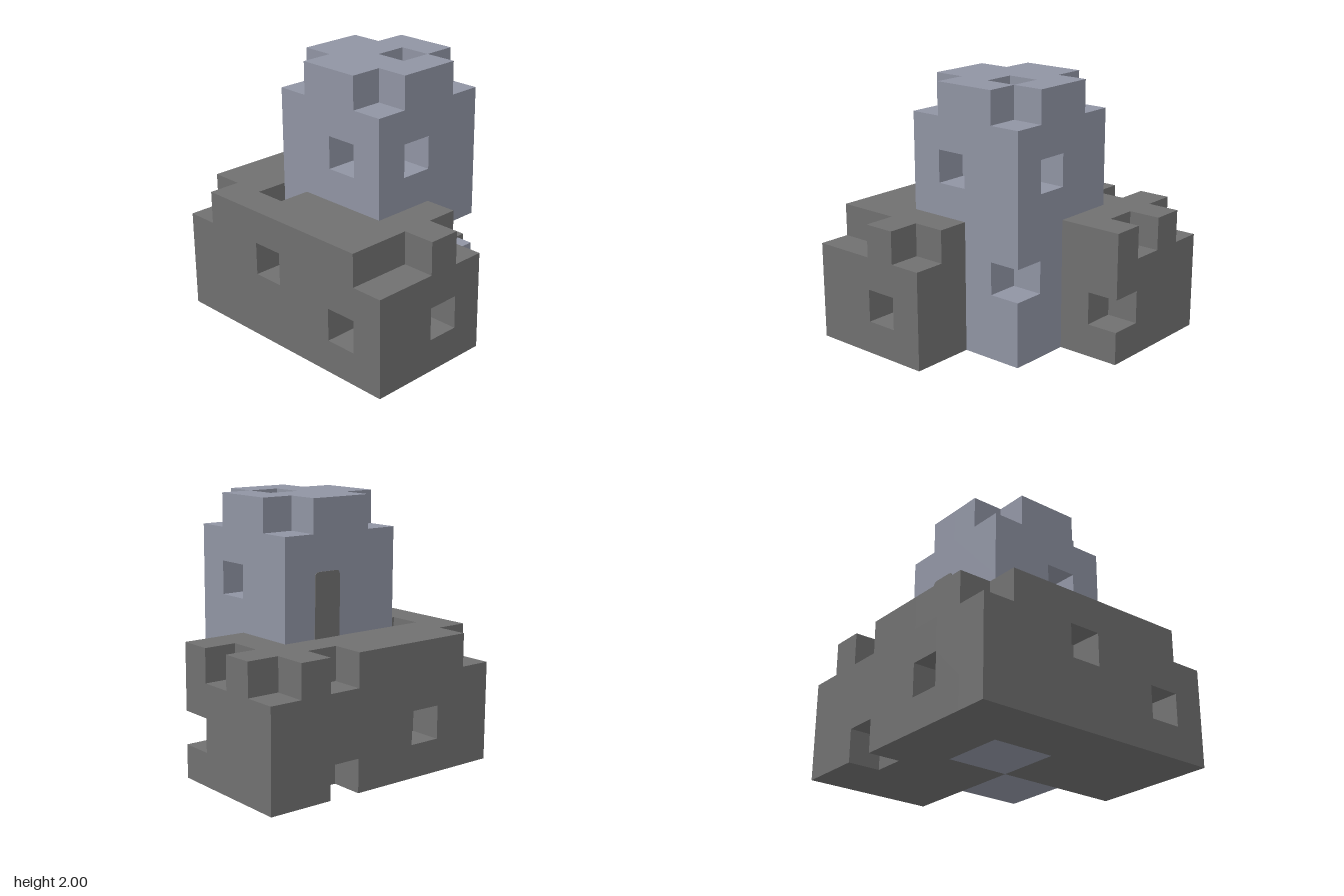
import * as THREE from 'three';

const CELL = 0.25; // the castle is cut on a grid of 8 x 8 x 8 blocks
const N = 8;

const stone = new THREE.MeshStandardMaterial({ color: 0x707070 });
stone.name = 'dark stone';
const slate = new THREE.MeshStandardMaterial({ color: 0x9094a3 });
slate.name = 'blue slate';

// Single blocks cut away, as [x, y, z] grid indices
const baseCuts = [
  [0, 3, 0], [5, 3, 0], [7, 3, 0],            // back battlements
  [7, 3, 2], [2 - 1, 3, 2],                   // right battlement, roof pit
  [0, 3, 7], [1, 3, 7], [3, 3, 7],            // front battlements
  [2, 1, 7], [2, 1, 0], [5, 0, 0],            // front and back windows, drain
  [0, 2, 3], [0, 1, 6], [7, 1, 3],            // side windows, corner niche
];
const towerCuts = [
  [2, 7, 2], [5, 7, 2], [2, 7, 5], [5, 7, 5], // top corners
  [4, 7, 4],                                  // roof pit
  [3, 5, 5], [5, 5, 4], [2, 5, 4],            // windows
  [5, 2, 5],                                  // lower corner niche
];
const key = (c) => c.join();
const cuts = new Set([...baseCuts, ...towerCuts].map(key));

// Which part fills a block, or null where it is empty
function partAt(c) {
  const [x, y, z] = c;
  if (c.some((n) => n < 0 || n >= N) || cuts.has(key(c))) return null;
  const inTower = x >= 2 && x < 6 && z >= 2 && z < 6;
  if (inTower) {
    const underWing = y === 0 && (x < 4) !== (z < 4); // wing floors run under the tower
    return underWing ? 'base' : 'tower';
  }
  return y < 4 && (x < 4 || z < 4) ? 'base' : null;
}

// Outer skin of all blocks of one part
function skin(part) {
  const pos = [], nor = [], idx = [];
  for (let x = 0; x < N; x++) for (let y = 0; y < N; y++) for (let z = 0; z < N; z++) {
    const cell = [x, y, z];
    if (partAt(cell) !== part) continue;
    for (let d = 0; d < 3; d++) for (const s of [-1, 1]) {
      const next = [...cell];
      next[d] += s;
      if (partAt(next)) continue;
      const u = (d + 1) % 3, v = (d + 2) % 3, first = pos.length / 3;
      for (const [a, b] of [[0, 0], [1, 0], [1, 1], [0, 1]]) {
        const p = [...cell], n = [0, 0, 0];
        p[d] += s > 0 ? 1 : 0;
        p[u] += a;
        p[v] += b;
        n[d] = s;
        pos.push(p[0] * CELL - 1, p[1] * CELL, p[2] * CELL - 1);
        nor.push(...n);
      }
      const order = s > 0 ? [0, 1, 2, 0, 2, 3] : [0, 2, 1, 0, 3, 2];
      idx.push(...order.map((i) => first + i));
    }
  }
  const g = new THREE.BufferGeometry();
  g.setAttribute('position', new THREE.Float32BufferAttribute(pos, 3));
  g.setAttribute('normal', new THREE.Float32BufferAttribute(nor, 3));
  g.setIndex(idx);
  return g;
}

// Thin door plate with clipped top corners
function doorGeometry(w, h, clip, depth) {
  const s = new THREE.Shape();
  s.moveTo(-w / 2, 0);
  s.lineTo(w / 2, 0);
  s.lineTo(w / 2, h - clip);
  s.quadraticCurveTo(w / 2, h, w / 2 - clip, h);
  s.lineTo(-w / 2 + clip, h);
  s.quadraticCurveTo(-w / 2, h, -w / 2, h - clip);
  return new THREE.ExtrudeGeometry(s, { depth, bevelEnabled: false, curveSegments: 3 });
}

export function createModel() {
  const castle = new THREE.Group();
  castle.name = 'castle';
  const add = (name, geometry, material) => {
    const mesh = new THREE.Mesh(geometry, material);
    mesh.name = name;
    castle.add(mesh);
    return mesh;
  };

  add('baseWalls', skin('base'), stone);
  add('tower', skin('tower'), slate);

  // Door on the back of the tower, opening onto the base roof
  add('towerDoor', doorGeometry(0.225, 0.48, 0.035, 0.006), stone)
    .position.set(0.125, 1, -0.505);

  return castle;
}
